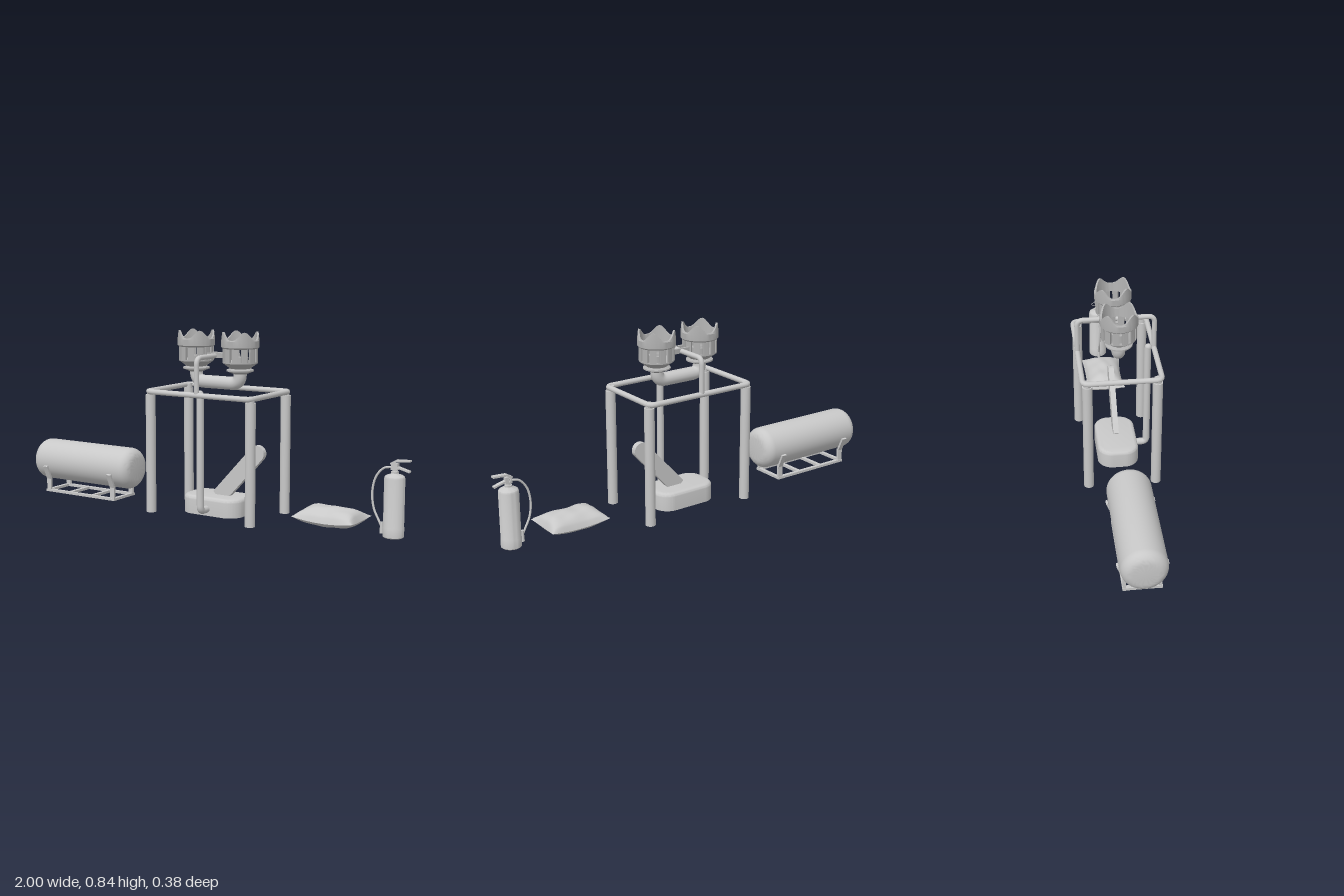
import * as THREE from 'three';
import { toCreasedNormals } from 'three/addons/utils/BufferGeometryUtils.js';

const grey = new THREE.MeshStandardMaterial({ color: 0xc8c8c8 });
grey.name = 'light grey';
const burnerGrey = new THREE.MeshStandardMaterial({ color: 0xb0b0b0 });
burnerGrey.name = 'burner grey';

const V = (x, y, z) => new THREE.Vector3(x, y, z);

function add(parent, name, geometry, x = 0, y = 0, z = 0, material = grey) {
  const mesh = new THREE.Mesh(geometry, material);
  mesh.name = name;
  mesh.position.set(x, y, z);
  parent.add(mesh);
  return mesh;
}

function group(parent, name, x = 0, y = 0, z = 0) {
  const g = new THREE.Group();
  g.name = name;
  g.position.set(x, y, z);
  parent.add(g);
  return g;
}

const lathe = (pts, sides = 40) =>
  toCreasedNormals(new THREE.LatheGeometry(pts.map(p => new THREE.Vector2(...p)), sides), 0.6);

// Straight runs joined by rounded bends
function pipe(pts, r, bend, closed = false) {
  const path = new THREE.CurvePath();
  const n = pts.length;
  const toward = (a, b) => a.clone().add(b.clone().sub(a).setLength(bend));
  let last = pts[0];
  for (let i = 1; i < n - 1; i++) {
    const a = toward(pts[i], pts[i - 1]), b = toward(pts[i], pts[i + 1]);
    path.add(new THREE.LineCurve3(last, a));
    path.add(new THREE.QuadraticBezierCurve3(a, pts[i], b));
    last = b;
  }
  path.add(new THREE.LineCurve3(last, pts[n - 1]));
  return new THREE.TubeGeometry(path, 140, r, 16, closed);
}

// Flat bar between two points
function bar(parent, name, a, b, w, d) {
  const mesh = add(parent, name, new THREE.BoxGeometry(w, a.distanceTo(b), d));
  mesh.position.copy(a).lerp(b, 0.5);
  mesh.quaternion.setFromUnitVectors(V(0, 1, 0), b.clone().sub(a).normalize());
}

function buildTank(root) {
  const g = group(root, 'gasTank', -0.705);
  const R = 0.1, L = 0.295, c = 0.048, profile = [[0, -L]];
  for (const s of [-1, 1]) for (let i = 0; i <= 8; i++) {
    const a = (s < 0 ? i : 8 - i) / 8 * Math.PI / 2;
    profile.push([R - c + c * Math.sin(a), s * (L - c + c * Math.cos(a))]);
  }
  profile.push([0, L]);
  add(g, 'tankShell', lathe(profile, 48), 0, 0.153).rotation.z = Math.PI / 2;
  // Cradle: two rails, cross bars and slanted brackets
  for (const s of [-1, 1]) {
    add(g, 'cradleRail', new THREE.BoxGeometry(0.43, 0.012, 0.018), 0, 0.006, s * 0.075);
    for (const x of [-0.2, 0.2]) {
      add(g, 'cradlePost', new THREE.BoxGeometry(0.025, 0.07, 0.012), x, 0.035, s * 0.075);
      bar(g, 'tankBracket', V(x, 0.06, s * 0.074), V(x, 0.132, s * 0.104), 0.026, 0.01);
    }
  }
  for (const x of [-0.205, -0.07, 0.07, 0.205])
    add(g, 'cradleCrossBar', new THREE.BoxGeometry(0.018, 0.012, 0.15), x, 0.006, 0);
}

function buildStand(root) {
  const g = group(root, 'stand', 0.052);
  const X = 0.274, Z = 0.176, y = 0.563;
  add(g, 'topFrame', pipe([V(0, y, Z), V(X, y, Z), V(X, y, -Z), V(-X, y, -Z), V(-X, y, Z), V(0, y, Z)], 0.0125, 0.03, true));
  add(g, 'burnerHoop', pipe([V(0, y, Z), V(0, 0.728, Z), V(0, 0.728, -Z), V(0, y, -Z)], 0.0115, 0.03));
  for (const sx of [-1, 1]) for (const sz of [-1, 1]) {
    add(g, 'leg', new THREE.CylinderGeometry(0.023, 0.023, 0.547, 24), sx * 0.266, 0.2735, sz * 0.156);
    add(g, 'legPlug', new THREE.CylinderGeometry(0.017, 0.017, 0.03, 20), sx * 0.266, 0.555, sz * 0.156);
  }
  add(g, 'feedPipe', pipe([V(0, 0.033, 0.07), V(0, 0.033, 0.147), V(0, 0.57, 0.147)], 0.0165, 0.025));
  add(g, 'feedPipeCap', new THREE.SphereGeometry(0.0165, 16, 10), 0, 0.567, 0.15);
}

function buildBurners(root) {
  const g = group(root, 'burners', 0.052);
  // Saddle pipe joining both cups
  add(g, 'burnerPipe', pipe([V(-0.118, 0.66, 0), V(-0.118, 0.605, 0), V(0.118, 0.605, 0), V(0.118, 0.66, 0)], 0.03, 0.045));
  for (const z of [-0.022, 0.022])
    add(g, 'hoopClamp', new THREE.BoxGeometry(0.085, 0.022, 0.012), 0, 0.73, z, burnerGrey);

  const bowl = lathe([[0.03, 0.65], [0.062, 0.663], [0.062, 0.669], [0.046, 0.675], [0.08, 0.7], [0.08, 0.706],
    [0.07, 0.706], [0.036, 0.69], [0.036, 0.725], [0.022, 0.725], [0.018, 0.68], [0, 0.68]]);
  // Crown ring with four rounded points
  let crown = new THREE.LatheGeometry([[0.068, 0.765], [0.08, 0.765], [0.086, 0.771], [0.086, 0.8], [0.082, 0.803],
    [0.074, 0.803], [0.068, 0.765]].map(p => new THREE.Vector2(...p)), 64);
  const p = crown.attributes.position;
  for (let i = 0; i < p.count; i++) if (p.getY(i) > 0.802) {
    const a = Math.atan2(p.getZ(i), p.getX(i));
    p.setY(i, 0.803 + 0.037 * Math.pow(Math.sin(2 * a) ** 2, 1.4));
  }
  crown = toCreasedNormals(crown, 0.6);
  // Ring of wall panels leaving narrow vents between them
  const half = Math.PI / 12 - 0.08, panel = new THREE.Shape();
  panel.absarc(0, 0, 0.08, -half, half, false);
  panel.absarc(0, 0, 0.07, half, -half, true);
  const panelGeo = toCreasedNormals(new THREE.ExtrudeGeometry(panel,
    { depth: 0.065, bevelEnabled: false, curveSegments: 4 }).rotateX(-Math.PI / 2), 0.5);

  for (const x of [-0.118, 0.118]) {
    const cup = group(g, 'burner', x);
    add(cup, 'burnerBowl', bowl, 0, 0, 0, burnerGrey);
    add(cup, 'burnerCrown', crown, 0, 0, 0, burnerGrey);
    for (let i = 0; i < 12; i++)
      add(cup, 'ventPanel', panelGeo, 0, 0.703, 0, burnerGrey).rotation.y = (i + 0.5) * Math.PI / 6;
  }
}

function buildPedal(root) {
  const g = group(root, 'pedalBlock', 0.052);
  const w = 0.133, d = 0.077, r = 0.05, s = new THREE.Shape();
  s.absarc(w - r, d - r, r, 0, Math.PI / 2);
  s.absarc(-w + r, d - r, r, Math.PI / 2, Math.PI);
  s.absarc(-w + r, -d + r, r, Math.PI, Math.PI * 1.5);
  s.absarc(w - r, -d + r, r, Math.PI * 1.5, Math.PI * 2);
  const block = new THREE.ExtrudeGeometry(s, { depth: 0.067, bevelSize: 0.019, bevelThickness: 0.018, bevelSegments: 5 });
  // Square off the lower bevel so the base is flat
  const p = block.attributes.position;
  for (let i = 0; i < p.count; i++) if (p.getZ(i) < 0) p.setZ(i, p.getZ(i) * 0.1);
  add(g, 'block', toCreasedNormals(block.rotateX(-Math.PI / 2), 0.6), 0, 0.002);
  // Sloping arm with a rounded upper end
  const h = 0.037, arm = new THREE.Shape();
  arm.moveTo(0, -h);
  arm.lineTo(0.3, -h);
  arm.absarc(0.3, 0, h, -Math.PI / 2, Math.PI / 2);
  arm.lineTo(0, h);
  const geo = new THREE.ExtrudeGeometry(arm, { depth: 0.026, bevelEnabled: false }).translate(0, 0, -0.013);
  add(g, 'pedalArm', toCreasedNormals(geo, 0.6), 0.01, 0.075).rotation.z = 0.83;
}

function buildCushion(root) {
  const g = group(root, 'cushion', 0.635);
  for (const side of [1, -1]) {
    const geo = new THREE.PlaneGeometry(2, 2, 28, 22).rotateX(side > 0 ? -Math.PI / 2 : Math.PI / 2);
    const p = geo.attributes.position;
    for (let i = 0; i < p.count; i++) {
      const u = p.getX(i), v = p.getZ(i);
      const puff = Math.pow((1 - u ** 4) * (1 - v * v), 0.6);
      const seam = 0.042 + 0.016 * u * u * (0.4 + 0.6 * v * v);
      const wrinkle = 0.003 * Math.sin(u * 7 + v * 3) * Math.cos(v * 5 - u * 2) * puff;
      p.setXYZ(i, u * (0.145 - 0.01 * (1 - v * v)),
        seam + (side > 0 ? 0.06 : -0.026) * puff + wrinkle, v * (0.1 - 0.009 * (1 - u * u)));
    }
    geo.computeVertexNormals();
    add(g, side > 0 ? 'cushionTop' : 'cushionBottom', geo);
  }
}

function buildExtinguisher(root) {
  const g = group(root, 'extinguisher', 0.926);
  add(g, 'bottle', lathe([[0, 0.006], [0.041, 0.006], [0.045, 0.01], [0.045, 0.05], [0.044, 0.052], [0.044, 0.258],
    [0.041, 0.266], [0.034, 0.271], [0.018, 0.276], [0.013, 0.282], [0.013, 0.29], [0, 0.29]]));
  add(g, 'valve', lathe([[0, 0.28], [0.016, 0.28], [0.016, 0.287], [0.01, 0.289], [0.01, 0.315], [0, 0.315]], 24));
  add(g, 'valveBlock', new THREE.BoxGeometry(0.03, 0.03, 0.02), 0, 0.309, 0);
  bar(g, 'carryHandle', V(0.005, 0.308, 0), V(0.068, 0.291, 0), 0.008, 0.018);
  bar(g, 'leverRear', V(-0.018, 0.318, 0), V(0.012, 0.336, 0), 0.008, 0.02);
  bar(g, 'leverFront', V(0.008, 0.333, 0), V(0.07, 0.337, 0), 0.008, 0.022);
  add(g, 'pinRing', new THREE.TorusGeometry(0.009, 0.0015, 6, 20), 0, 0.312, -0.02).rotation.y = Math.PI / 2;
  const hose = new THREE.CatmullRomCurve3([V(-0.01, 0.305, 0), V(-0.05, 0.296, 0), V(-0.085, 0.255, 0), V(-0.1, 0.19, 0),
    V(-0.092, 0.12, 0), V(-0.068, 0.07, 0), V(-0.055, 0.045, 0)]);
  add(g, 'hose', new THREE.TubeGeometry(hose, 40, 0.005, 10));
  add(g, 'nozzle', new THREE.CylinderGeometry(0.006, 0.009, 0.05, 16), -0.054, 0.04, 0);
}

export function createModel() {
  const root = new THREE.Group();
  root.name = 'balloonEquipment';
  buildTank(root);
  buildStand(root);
  buildBurners(root);
  buildPedal(root);
  buildCushion(root);
  buildExtinguisher(root);
  return root;
}
